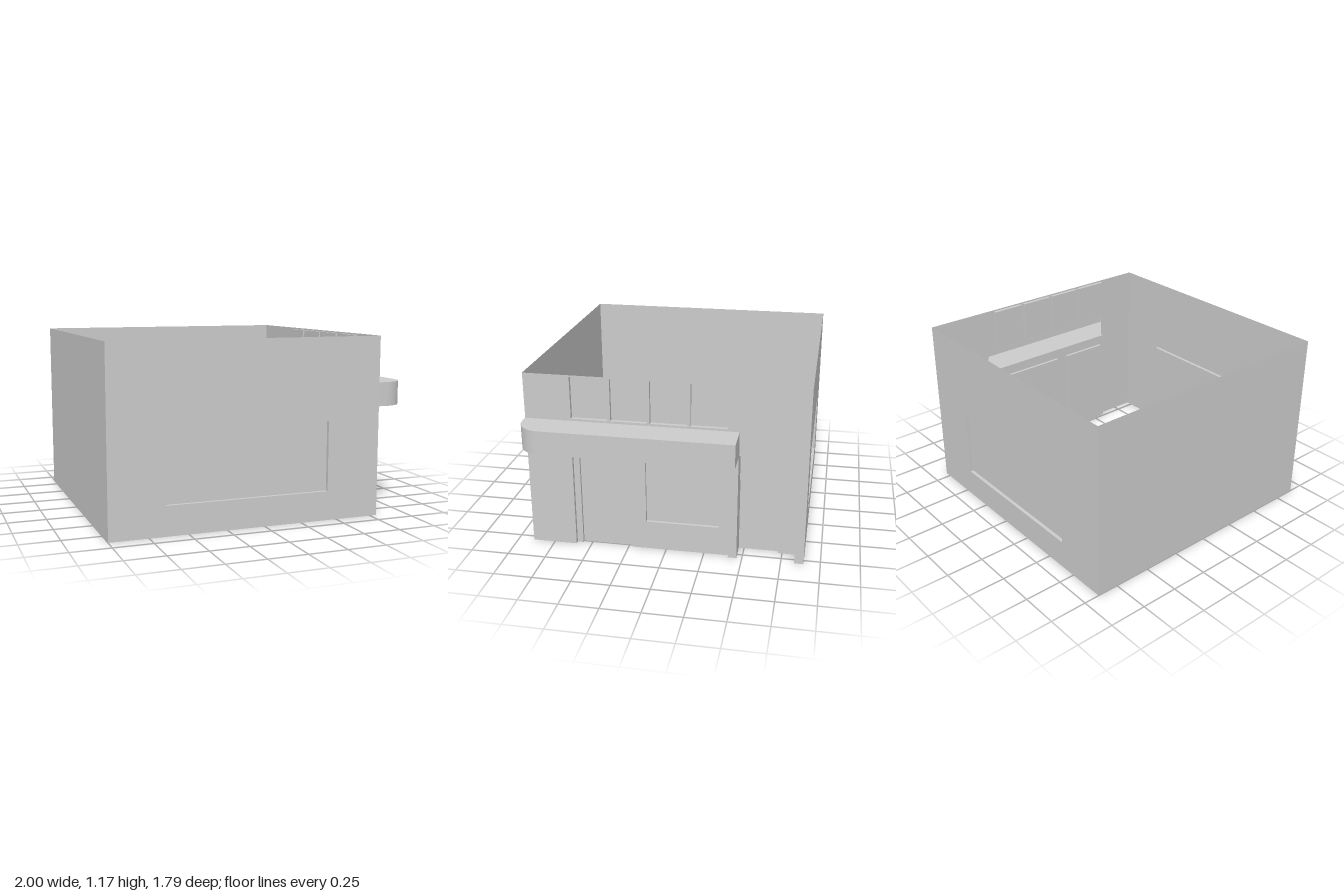
import * as THREE from 'three';
import { toCreasedNormals } from 'three/addons/utils/BufferGeometryUtils.js';

const material = new THREE.MeshStandardMaterial({ color: 0xcccccc, side: THREE.DoubleSide });
const HEIGHT = 1.175, HALF_DEPTH = 0.895, WALL_X = 0.795;

const vectors = (points) => points.map(([u, v]) => new THREE.Vector2(u, v));

// Corners of a rectangle, clockwise from the lower left
const rect = (u0, u1, v0, v1) => [[u0, v0], [u0, v1], [u1, v1], [u1, v0]];

// Flat sheet at depth w, with optional holes
function sheet(points, w = 0, holes = []) {
  const shape = new THREE.Shape(vectors(points));
  shape.holes = holes.map((hole) => new THREE.Path(vectors(hole)));
  return new THREE.ShapeGeometry(shape).translate(0, 0, w);
}

// Band that sweeps a line of points from depth w0 to w1
function band(points, w0, w1, closed = false) {
  const line = closed ? [...points, points[0]] : points;
  const positions = [];
  for (let i = 0; i < line.length - 1; i++) {
    const [a, b] = [line[i], line[i + 1]];
    positions.push(...a, w0, ...b, w0, ...b, w1, ...a, w0, ...b, w1, ...a, w1);
  }
  const geometry = new THREE.BufferGeometry();
  geometry.setAttribute('position', new THREE.Float32BufferAttribute(positions, 3));
  return toCreasedNormals(geometry, 0.6);
}

function part(name, ...geometries) {
  const group = new THREE.Group();
  group.name = name;
  for (const geometry of geometries) {
    const mesh = new THREE.Mesh(geometry, material);
    mesh.name = name + 'Surface';
    group.add(mesh);
  }
  return group;
}

// Recessed pane with a rim on all sides, or open at the floor
function recess(name, corners, front, back, openBottom = false) {
  return part(name, sheet(corners, back), band(corners, back, front, !openBottom));
}

// Wall with one wide recessed window
function windowWall(name, u0, u1) {
  const pane = rect(u0, u1, 0.19, 0.645);
  const wall = part(name, sheet(rect(-WALL_X, 1, 0, HEIGHT), 0, [pane]));
  wall.add(recess(name + 'Window', pane, 0, -0.023));
  return wall;
}

// Entrance side; u runs toward the back, w points outward
function entranceWall() {
  const wall = new THREE.Group();
  wall.name = 'entranceWall';

  // Upper row of four panes
  const panes = [[-0.595, -0.36], [-0.34, -0.11], [-0.09, 0.145], [0.165, 0.395]]
    .map(([u0, u1]) => rect(u0, u1, 0.89, 1.165));
  panes.forEach((pane) => wall.add(recess('upperPane', pane, 0, -0.025)));

  // Main wall, open at the storefront, canopy and side alcove
  const outline = [
    [-0.895, 0], [-0.6, 0], [-0.6, 0.875], [0.465, 0.875], [0.465, 0.72],
    [0.835, 0.72], [0.835, 0], [0.895, 0], [0.895, HEIGHT], [-0.895, HEIGHT],
  ];
  wall.add(part('mainWall', sheet(outline, 0, panes)));
  wall.add(part('pillar', sheet(rect(0.41, 0.465, 0, 0.72))));

  // Storefront with door and display window
  const door = rect(-0.56, -0.225, 0, 0.65);
  const display = rect(-0.13, 0.345, 0.195, 0.65);
  const front = [[-0.6, 0], ...door, [0.41, 0], [0.41, 0.72], [-0.6, 0.72]];
  wall.add(part('storefront',
    sheet(front, -0.025, [display]),
    band(rect(-0.6, 0.41, 0, 0.72), -0.025, 0)));
  wall.add(recess('door', door, -0.025, -0.045, true));
  wall.add(recess('displayWindow', display, -0.025, -0.045));

  // Side alcove with a lower panel set further in
  const lower = rect(0.465, 0.725, 0, 0.505);
  const alcove = [[0.465, 0.505], [0.725, 0.505], [0.725, 0], [0.835, 0], [0.835, 0.72], [0.465, 0.72]];
  wall.add(part('alcove', sheet(alcove, -0.11), band(rect(0.465, 0.835, 0, 0.72), -0.11, 0)));
  wall.add(recess('alcovePanel', lower, -0.11, -0.135, true));
  return wall;
}

// Hollow canopy with a rounded front corner, open toward the wall
function canopy() {
  const outline = [[WALL_X, -HALF_DEPTH]];
  const steps = 10;
  for (let i = 0; i <= steps; i++) {
    const a = (i / steps - 1) * Math.PI / 2;
    outline.push([0.85 + 0.15 * Math.cos(a), -0.745 + 0.15 * Math.sin(a)]);
  }
  outline.push([1, 0.468], [WALL_X, 0.468]);
  const group = part('canopy',
    sheet(outline, 0.875), sheet(outline, 0.72), band(outline, 0.72, 0.875));
  group.rotation.x = -Math.PI / 2;
  return group;
}

export function createModel() {
  const model = new THREE.Group();
  model.name = 'shopBuilding';

  // Front and back walls
  const front = windowWall('frontWall', -0.435, 0.64);
  front.scale.x = -1;
  front.position.z = HALF_DEPTH;
  const back = windowWall('backWall', -0.435, 0.64);
  back.rotation.y = Math.PI;
  back.position.z = -HALF_DEPTH;

  // Plain side wall
  const plain = part('plainWall', sheet(rect(-HALF_DEPTH, HALF_DEPTH, 0, HEIGHT)));
  plain.rotation.y = -Math.PI / 2;
  plain.position.x = -1;

  const entrance = entranceWall();
  entrance.rotation.y = Math.PI / 2;
  entrance.position.x = WALL_X;

  model.add(front, back, plain, entrance, canopy());
  return model;
}
